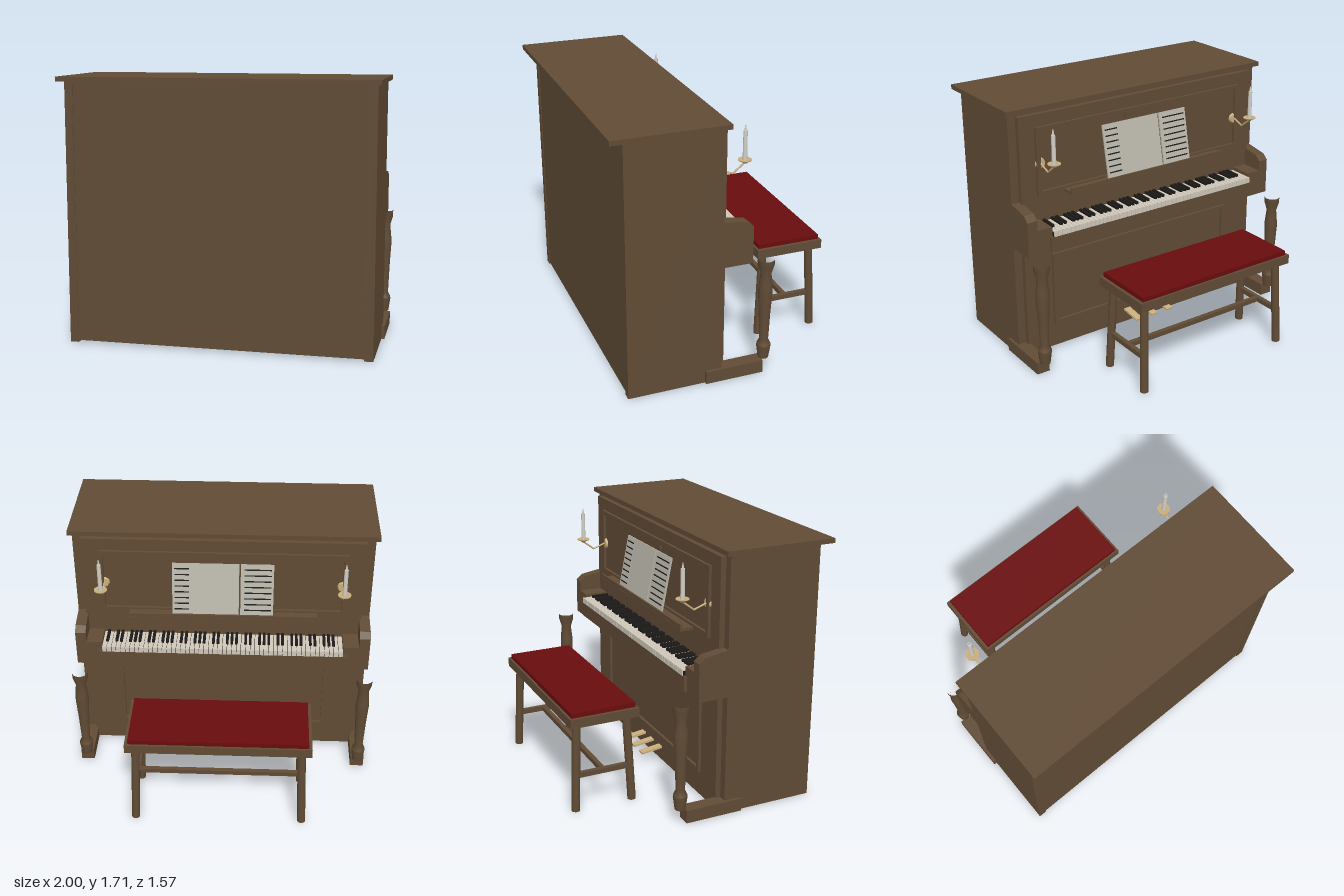
import * as THREE from 'three';

const mat = (name, color) => {
  const m = new THREE.MeshStandardMaterial({ color });
  m.name = name;
  return m;
};

export function createModel() {
  const wood = mat('walnut wood', 0x604b35);
  const red = mat('red cushion', 0x690c0d);
  const ivory = mat('ivory', 0xcfc8ba);
  const black = mat('ebony', 0x1c1a18);
  const paper = mat('paper', 0xb9b6aa);
  const brass = mat('brass', 0xc9ae7c);
  const wax = mat('candle wax', 0xd2cfc4);

  const model = new THREE.Group();
  const mesh = (name, geometry, material, parent = model) => {
    const m = new THREE.Mesh(geometry, material);
    m.name = name;
    parent.add(m);
    return m;
  };
  // Box given by its limits on each axis
  const box = (name, x0, x1, y0, y1, z0, z1, material = wood, parent = model) => {
    const m = mesh(name, new THREE.BoxGeometry(x1 - x0, y1 - y0, z1 - z0), material, parent);
    m.position.set((x0 + x1) / 2, (y0 + y1) / 2, (z0 + z1) / 2);
    return m;
  };
  // Round bar between two points
  const rod = (name, a, b, r0, r1, material = wood, parent = model, sides = 16) => {
    const p = new THREE.Vector3(...a), q = new THREE.Vector3(...b);
    const m = mesh(name, new THREE.CylinderGeometry(r1, r0, p.distanceTo(q), sides), material, parent);
    m.position.copy(p).add(q).multiplyScalar(0.5);
    m.quaternion.setFromUnitVectors(new THREE.Vector3(0, 1, 0), q.sub(p).normalize());
    return m;
  };
  // Rectangular raised moulding on the keyboard side
  const frame = (name, w, y0, y1, bar) => {
    const s = new THREE.Shape([[-w, y0], [w, y0], [w, y1], [-w, y1]].map(p => new THREE.Vector2(...p)));
    const i = w - bar;
    s.holes.push(new THREE.Path([[-i, y0 + bar], [-i, y1 - bar], [i, y1 - bar], [i, y0 + bar]]
      .map(p => new THREE.Vector2(...p))));
    mesh(name, new THREE.ExtrudeGeometry(s, { depth: 0.02, bevelEnabled: false }), wood).position.z = 0.031;
  };

  // Cabinet
  box('lid', -1, 1, 1.675, 1.705, 0.05, 0.785);
  box('cabinetCore', -0.92, 0.92, 0.012, 1.675, 0.085, 0.695);
  box('frontPanel', -0.92, 0.92, 0.012, 1.655, 0.05, 0.085);
  frame('upperMoulding', 0.81, 1.12, 1.575, 0.03);
  frame('lowerMoulding', 0.72, 0.175, 0.695, 0.03);
  box('deskBacking', -0.14, 0.14, 1.51, 1.56, 0.035, 0.05);

  // Keyboard
  box('keyBed', -0.905, 0.905, 0.785, 0.9, -0.11, 0.05);
  box('keySlip', -0.82, 0.82, 0.8, 0.9, -0.13, -0.11);
  box('keyGaps', -0.8, 0.8, 0.9, 0.93, -0.128, 0.05, black);
  const keys = new THREE.Group();
  keys.name = 'keys';
  model.add(keys);
  const n = 52, step = 1.6 / n;
  for (let i = 0; i < n; i++) {
    const x = 0.8 - i * step;
    box('whiteKey', x - step + 0.0015, x - 0.0015, 0.9, 0.938, -0.133, 0.05, ivory, keys);
    // No sharp between B-C and E-F
    if (i < n - 1 && ![1, 4].includes(i % 7)) {
      box('blackKey', x - step - 0.009, x - step + 0.009, 0.938, 0.955, -0.07, 0.05, black, keys);
    }
  }

  const cheek = new THREE.Shape([[-0.085, 0.785], [0.11, 0.785], [0.11, 1.03], [0.07, 1.065], [-0.085, 1.09]]
    .map(p => new THREE.Vector2(...p)));
  const cheekGeo = new THREE.ExtrudeGeometry(cheek, { depth: 0.07, bevelEnabled: false }).rotateY(Math.PI / 2);
  const column = new THREE.LatheGeometry([[0.034, 0.085], [0.046, 0.172], [0.044, 0.185], [0.029, 0.217],
    [0.036, 0.4], [0.045, 0.556], [0.043, 0.6], [0.034, 0.683], [0.052, 0.745], [0.052, 0.782]]
    .map(p => new THREE.Vector2(...p)), 16);
  const dish = new THREE.LatheGeometry([[0.001, 1.358], [0.014, 1.362], [0.02, 1.37], [0.042, 1.38],
    [0.042, 1.386], [0.001, 1.38]].map(p => new THREE.Vector2(...p)), 20);

  for (const s of [-1, 1]) {
    box('sidePanel', s * 0.9475 - 0.0275, s * 0.9475 + 0.0275, 0, 1.675, 0.085, 0.7);
    mesh('keyCheek', cheekGeo, wood).position.x = s * 0.94 - 0.035;
    box('keyBlock', s * 0.8525 - 0.0525, s * 0.8525 + 0.0525, 0.9, 0.96, -0.11, 0.05);
    // Turned column on its foot
    box('foot', s * 0.95 - 0.045, s * 0.95 + 0.045, 0, 0.085, -0.19, 0.195);
    mesh('column', column, wood).position.set(s * 0.948, 0, -0.213);

    // Candle sconce
    const sconce = new THREE.Group();
    sconce.name = 'sconce';
    sconce.position.x = s * 0.78;
    model.add(sconce);
    rod('wallPlate', [0, 1.335, 0.05], [0, 1.335, 0.035], 0.036, 0.03, brass, sconce);
    rod('arm', [0, 1.337, 0.04], [0, 1.305, -0.05], 0.006, 0.006, brass, sconce, 8);
    rod('arm', [0, 1.303, -0.046], [0, 1.363, -0.125], 0.006, 0.006, brass, sconce, 8);
    mesh('dish', dish, brass, sconce).position.z = -0.127;
    rod('candle', [0, 1.38, -0.127], [0, 1.57, -0.127], 0.014, 0.013, wax, sconce);
    rod('wick', [0, 1.57, -0.127], [0, 1.605, -0.127], 0.008, 0.003, wax, sconce, 8);
  }

  // Music shelf and open sheets
  box('musicShelf', -0.62, 0.62, 1.115, 1.135, -0.06, 0.05);
  box('shelfLip', -0.62, 0.62, 1.135, 1.16, -0.058, -0.045);
  const music = new THREE.Group();
  music.name = 'sheetMusic';
  music.position.set(0, 1.325, -0.007);
  music.rotation.x = 0.195;
  model.add(music);
  box('leftPage', -0.105, 0.33, -0.18, 0.18, -0.005, 0.005, paper, music);
  box('rightPage', -0.33, -0.115, -0.18, 0.18, -0.005, 0.005, paper, music);
  for (let i = 0; i < 8; i++) {
    const y = -0.14 + i * 0.04;
    box('staffLine', 0.22, 0.315, y, y + 0.008, -0.007, -0.005, black, music);
    box('staffLine', -0.315, -0.14, y, y + 0.008, -0.007, -0.005, black, music);
  }

  // Pedals
  for (const x of [-0.13, 0, 0.13]) {
    const pedal = box('pedal', x - 0.025, x + 0.025, 0.09, 0.104, -0.1, 0.06, brass);
    pedal.rotation.x = -0.13;
  }

  // Bench
  const bench = new THREE.Group();
  bench.name = 'bench';
  bench.position.z = -0.555;
  model.add(bench);
  box('seatFrame', -0.595, 0.595, 0.585, 0.645, -0.23, 0.23, wood, bench);
  box('cushion', -0.573, 0.573, 0.645, 0.675, -0.215, 0.215, red, bench);
  for (const x of [-1, 1]) {
    for (const z of [-1, 1]) {
      rod('benchLeg', [x * 0.55, 0, z * 0.194], [x * 0.53, 0.59, z * 0.168], 0.027, 0.027, wood, bench);
    }
    box('sideStretcher', x * 0.542 - 0.015, x * 0.542 + 0.015, 0.225, 0.258, -0.185, 0.185, wood, bench);
  }
  box('longStretcher', -0.54, 0.54, 0.226, 0.257, -0.015, 0.015, wood, bench);

  return model;
}
